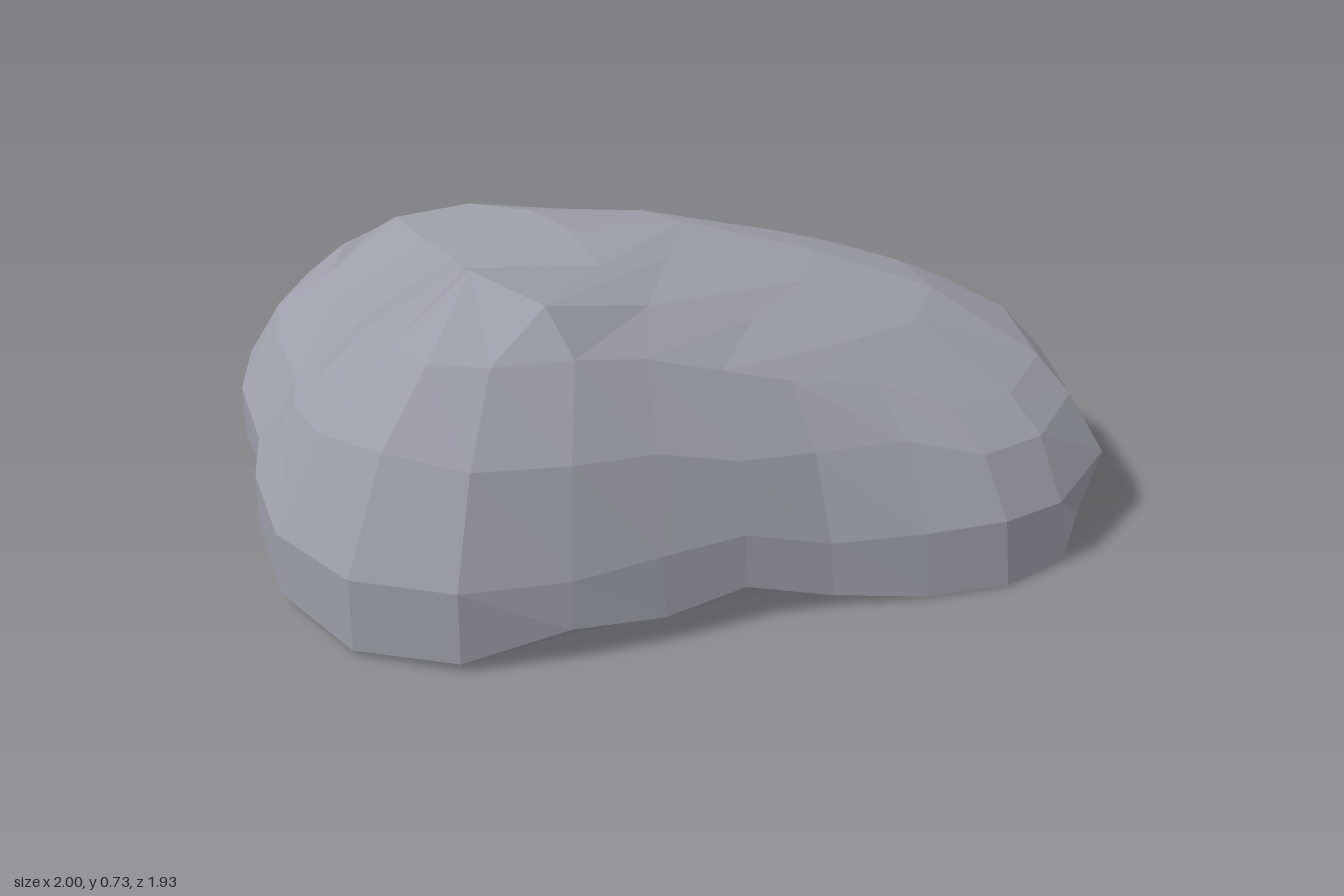
import * as THREE from 'three';

// widest outline of the boulder, clockwise from the back: [x, z]
const outline = [
  [0.27, -0.97], [0.62, -0.94], [0.91, -0.76], [1, -0.53], [0.99, -0.35], [0.91, -0.17],
  [0.8, 0.02], [0.72, 0.21], [0.67, 0.4], [0.6, 0.6], [0.49, 0.81], [0.29, 0.95],
  [0.02, 0.965], [-0.2, 0.89], [-0.36, 0.79], [-0.66, 0.67], [-0.84, 0.56], [-0.95, 0.38],
  [-1, 0.2], [-0.98, 0], [-0.89, -0.18], [-0.52, -0.5], [-0.29, -0.73], [0, -0.86],
];
// shoulder loop where the steep sides meet the crown: [x, y, z]
const shoulder = [
  [0.29, 0.4, -0.87], [0.53, 0.41, -0.82], [0.74, 0.39, -0.7], [0.81, 0.37, -0.52],
  [0.8, 0.38, -0.34], [0.7, 0.45, -0.2], [0.62, 0.49, 0], [0.55, 0.53, 0.14],
  [0.48, 0.58, 0.3], [0.44, 0.61, 0.46], [0.36, 0.61, 0.62], [0.26, 0.61, 0.71],
  [0.14, 0.61, 0.72], [-0.05, 0.57, 0.67], [-0.2, 0.51, 0.6], [-0.45, 0.47, 0.5],
  [-0.62, 0.46, 0.41], [-0.78, 0.45, 0.28], [-0.84, 0.44, 0.15], [-0.82, 0.44, 0],
  [-0.7, 0.46, -0.1], [-0.42, 0.46, -0.38], [-0.2, 0.44, -0.62], [0.04, 0.43, -0.78],
];
// cross-sections of the crown from back to front, inside the shoulder: [x, y, z]
const crown = [
  [[0.1, 0.49, -0.66], [0.32, 0.51, -0.66], [0.5, 0.52, -0.58], [0.6, 0.51, -0.42], [0.6, 0.52, -0.22]],
  [[-0.12, 0.53, -0.44], [0.1, 0.57, -0.46], [0.27, 0.59, -0.4], [0.4, 0.59, -0.25], [0.47, 0.58, -0.02]],
  [[-0.42, 0.55, -0.16], [-0.15, 0.61, -0.22], [0.05, 0.65, -0.18], [0.2, 0.65, 0], [0.37, 0.64, 0.2]],
  [[-0.6, 0.55, 0], [-0.33, 0.61, 0], [-0.08, 0.66, 0.08], [0.2, 0.68, 0.2], [0.34, 0.7, 0.46]],
  [[-0.66, 0.54, 0.19], [-0.42, 0.57, 0.26], [-0.2, 0.61, 0.33], [-0.02, 0.66, 0.42], [0.14, 0.73, 0.51]],
];
const n = outline.length;
const mix = (a, b, t) => a + (b - a) * t;

// the lower edge lifts off the ground at the front and along one flank
function edgeHeight(x, z) {
  const hollow = (cx, cz, h, r) => h * Math.exp(-((x - cx) ** 2 + (z - cz) ** 2) / (r * r));
  return 0.02 - 0.012 * Math.max(0, x)
    + hollow(-0.38, 0.78, 0.1, 0.32) + hollow(0.72, 0.21, 0.08, 0.19) + hollow(0.6, 0.58, 0.07, 0.2);
}

// loops from the underside up to the shoulder
function sideRings() {
  const vary = (j, k) => Math.sin(j * 5.3 + k * 2.7) * 0.5 + Math.sin(j * 2.1 + k * 4.9) * 0.5;
  const ring = (f) => outline.map(([x, z], j) => f(x, z, shoulder[j], j));
  const slope = (x, z) => x > 0.75 && z > -0.8; // flank that leans back evenly
  return [
    ring(() => [0, 0.015, 0]),
    ring((x, z) => [x * 0.88, 0.02 - 0.015 * x, z * 0.88]),
    ring((x, z) => {
      const k = z < -0.6 ? 0.965 : 0.998;
      return [x * k, edgeHeight(x, z), z * k];
    }),
    ring((x, z, s, j) => {
      const k = Math.abs(z) > 0.6 ? 1 : 0.982;
      return [x * k, (slope(x, z) ? 0.17 : 0.2) + 0.02 * vary(j, 1), z * k];
    }),
    ring((x, z, s, j) => {
      const t = (slope(x, z) ? 0.5 : 0.4) + 0.05 * vary(j, 2);
      return [mix(x, s[0], t), mix(0.2, s[1], 0.56 + 0.06 * vary(j, 2)), mix(z, s[2], t)];
    }),
    shoulder,
  ];
}

// crown rows framed by the shoulder loop, so both share their border points
function crownGrid() {
  const m = n / 4;
  const at = (i) => shoulder[(n - 1 + i) % n];
  const steps = Array.from({ length: m + 1 }, (_, c) => c);
  return [
    steps.map((c) => at(c)),
    ...crown.map((row, r) => [at(n - 1 - r), ...row, at(m + 1 + r)]),
    steps.map((c) => at(3 * m - c)),
  ];
}

function stoneGeometry() {
  const points = [];
  const quad = (a, b, c, d) => points.push(...a, ...b, ...c, ...a, ...c, ...d);
  const rings = sideRings();
  for (let i = 0; i < rings.length - 1; i++) {
    for (let j = 0; j < n; j++) {
      const k = (j + 1) % n;
      if (i === 0) points.push(...rings[0][j], ...rings[1][j], ...rings[1][k]);
      else quad(rings[i][j], rings[i + 1][j], rings[i + 1][k], rings[i][k]);
    }
  }
  const grid = crownGrid();
  for (let r = 0; r < grid.length - 1; r++) {
    for (let c = 0; c < grid[r].length - 1; c++) {
      quad(grid[r][c], grid[r + 1][c], grid[r + 1][c + 1], grid[r][c + 1]);
    }
  }
  const geometry = new THREE.BufferGeometry();
  geometry.setAttribute('position', new THREE.Float32BufferAttribute(points, 3));
  geometry.computeVertexNormals();
  return geometry;
}

export function createModel() {
  const stone = new THREE.MeshStandardMaterial({ color: 0x9c9ea9, flatShading: true });
  stone.name = 'stone grey';
  const boulder = new THREE.Mesh(stoneGeometry(), stone);
  boulder.name = 'boulder';
  const model = new THREE.Group();
  model.name = 'rock';
  model.add(boulder);
  return model;
}
